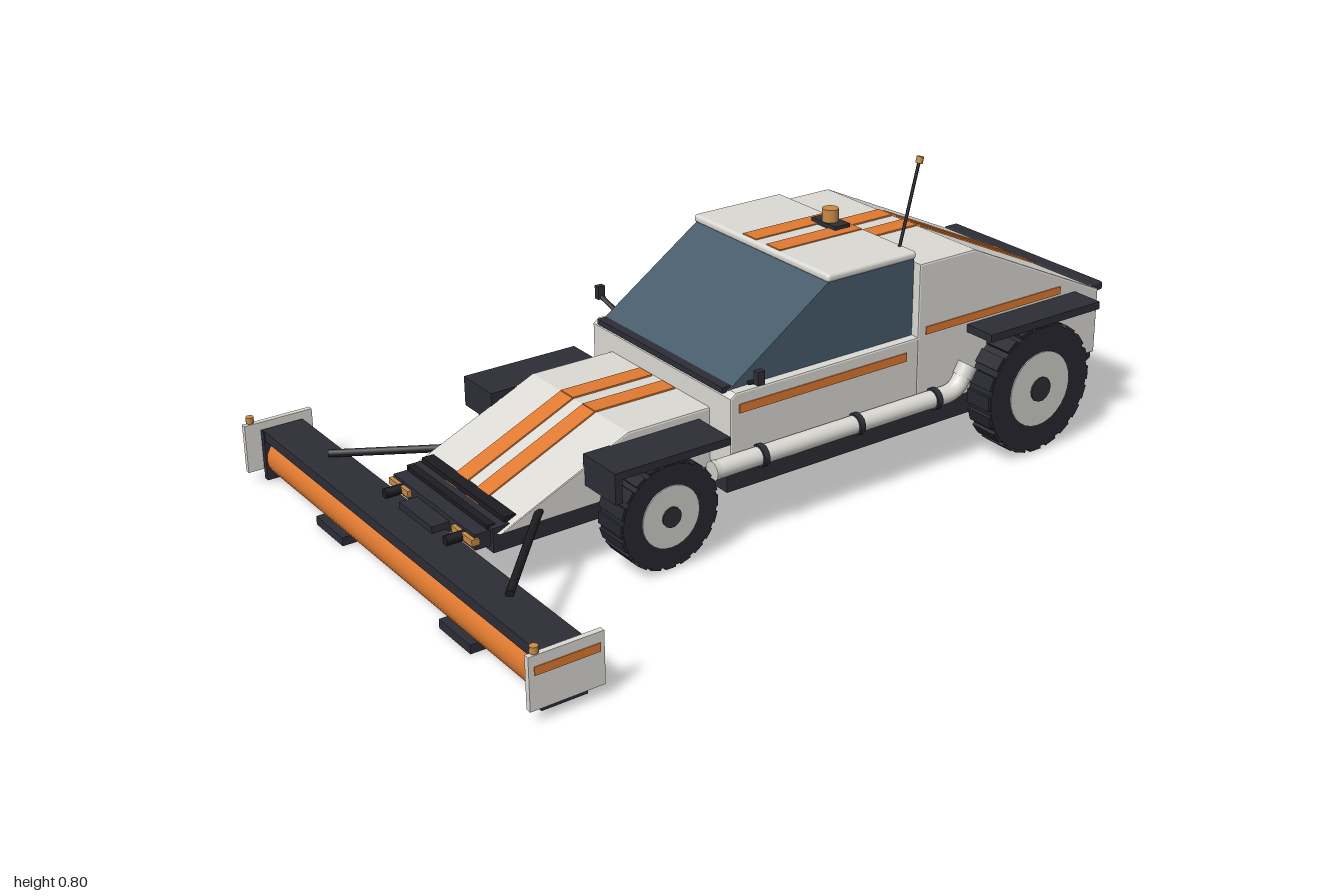
import * as THREE from 'three';
import { RoundedBoxGeometry } from 'three/addons/geometries/RoundedBoxGeometry.js';

const mat = (name, color) => Object.assign(new THREE.MeshStandardMaterial({ color }), { name });
const M = {
  body: mat('warm white paint', 0xdcdad4),
  orange: mat('orange paint', 0xe07a30),
  dark: mat('dark trim', 0x2d2d36),
  tyre: mat('tyre rubber', 0x272730),
  glass: mat('tinted glass', 0x465b6b),
  amber: mat('amber lamp', 0xc98a45),
  rim: mat('light metal', 0xcfcfca),
  black: mat('black metal', 0x1d1d21),
};

export function createModel() {
  const root = new THREE.Group();
  root.name = 'sweeperCar';

  const add = (name, geo, m, parent = root) => {
    const mesh = new THREE.Mesh(geo, m);
    mesh.name = name;
    parent.add(mesh);
    return mesh;
  };
  // Box given by its limits on each axis
  const box = (name, m, x0, x1, y0, y1, z0, z1, r = 0) => {
    const s = [x1 - x0, y1 - y0, z1 - z0];
    const g = r ? new RoundedBoxGeometry(...s, 2, r) : new THREE.BoxGeometry(...s);
    return add(name, g.translate((x0 + x1) / 2, (y0 + y1) / 2, (z0 + z1) / 2), m);
  };
  // Mirrored pair of boxes
  const pair = (name, m, x0, x1, ...rest) => {
    box(name + 'Left', m, x0, x1, ...rest);
    box(name + 'Right', m, -x1, -x0, ...rest);
  };
  // Side profile in (z, y), extruded across x
  const prism = (name, m, pts, w, x = 0, bevel = 0) => {
    const shape = new THREE.Shape(pts.map(p => new THREE.Vector2(...p)));
    const g = new THREE.ExtrudeGeometry(shape, {
      depth: w - 2 * bevel, bevelEnabled: bevel > 0, bevelSize: bevel, bevelOffset: -bevel,
      bevelThickness: bevel, bevelSegments: 2,
    });
    g.translate(0, 0, -(w - 2 * bevel) / 2).rotateY(-Math.PI / 2).translate(x, 0, 0);
    return add(name, g, m);
  };
  // Round bar between two points
  const rod = (name, m, a, b, r, sides = 10, parent = root) => {
    const p = new THREE.Vector3(...a), q = new THREE.Vector3(...b);
    const mesh = add(name, new THREE.CylinderGeometry(r, r, p.distanceTo(q), sides), m, parent);
    mesh.position.copy(p).lerp(q, 0.5);
    mesh.quaternion.setFromUnitVectors(new THREE.Vector3(0, 1, 0), q.sub(p).normalize());
    return mesh;
  };
  // Pair of racing stripes laid on a sloping panel, a is the rear end
  const stripes = (name, a, b) => {
    const n = new THREE.Vector2(-(b[1] - a[1]), b[0] - a[0]).normalize().multiplyScalar(0.004);
    const pts = [a, b, [b[0] + n.x, b[1] + n.y], [a[0] + n.x, a[1] + n.y]];
    for (const x of [-0.047, 0.047]) prism(name, M.orange, pts, 0.052, x);
  };

  // Chassis
  box('chassisFront', M.dark, -0.195, 0.195, 0.115, 0.175, 0.2, 0.8);
  box('chassisRear', M.dark, -0.265, 0.265, 0.115, 0.185, -0.88, 0.22);
  for (const z of [0.415, -0.675]) {
    const y = z > 0 ? 0.137 : 0.177;
    rod('axle', M.black, [-0.3, y, z], [0.3, y, z], 0.025);
  }

  // Hood, cab and rear body
  prism('hood', M.body, [[0.21, 0.16], [0.79, 0.16], [0.45, 0.312], [0.21, 0.312]], 0.41, 0, 0.005);
  prism('cabLower', M.body, [[-0.34, 0.18], [0.225, 0.18], [0.225, 0.36], [0.21, 0.372], [-0.34, 0.372]], 0.57, 0, 0.005);
  prism('cabGlass', M.glass, [[-0.335, 0.37], [0.215, 0.37], [-0.08, 0.572], [-0.335, 0.572]], 0.524);
  box('roof', M.body, -0.267, 0.267, 0.567, 0.588, -0.34, -0.068, 0.009);
  box('windscreenSill', M.dark, -0.258, 0.258, 0.366, 0.38, 0.203, 0.228);
  prism('rearBody', M.body, [[-0.95, 0.18], [-0.335, 0.18], [-0.335, 0.56], [-0.51, 0.56], [-0.95, 0.355]], 0.57, 0, 0.005);

  // Painted stripes
  stripes('hoodStripeFlat', [0.23, 0.312], [0.452, 0.312]);
  stripes('hoodStripeSlope', [0.452, 0.311], [0.77, 0.169]);
  stripes('roofStripe', [-0.33, 0.587], [-0.078, 0.587]);
  stripes('deckStripeFlat', [-0.508, 0.56], [-0.345, 0.56]);
  stripes('deckStripeSlope', [-0.935, 0.362], [-0.522, 0.5545]);
  pair('cabSideStripe', M.orange, 0.283, 0.288, 0.32, 0.342, -0.3, 0.2);
  pair('rearSideStripe', M.orange, 0.283, 0.288, 0.375, 0.395, -0.81, -0.36);

  // Tail
  box('tailPanel', M.dark, -0.272, 0.272, 0.185, 0.335, -0.957, -0.94);
  box('tailSpoiler', M.dark, -0.28, 0.28, 0.347, 0.37, -0.972, -0.925, 0.006);
  box('rearBumper', M.dark, -0.232, 0.232, 0.128, 0.178, -1, -0.945, 0.01);
  pair('bumperBracket', M.dark, 0.12, 0.16, 0.135, 0.17, -0.96, -0.86);
  pair('tailLamp', M.amber, 0.13, 0.24, 0.3, 0.316, -0.963, -0.95);

  // Fenders
  pair('rearFender', M.dark, 0.275, 0.372, 0.348, 0.368, -0.865, -0.495);
  pair('frontFender', M.dark, 0.2, 0.328, 0.272, 0.291, 0.255, 0.567);
  pair('frontFenderFlap', M.dark, 0.2, 0.328, 0.215, 0.28, 0.548, 0.567);

  // Wheels with tread blocks; the axis lies along x
  const wheel = (name, side, x0, x1, y, z, r) => {
    const g = new THREE.Group();
    g.name = name;
    const w = x1 - x0, lugs = 20;
    const disc = (part, m, rad, width, sides) =>
      add(part, new THREE.CylinderGeometry(rad, rad, width, sides).rotateZ(Math.PI / 2), m, g);
    disc('tyre', M.tyre, r * 0.955, w, 40);
    for (let i = 0; i < lugs; i++) {
      const lug = add('treadBlock', new THREE.BoxGeometry(w * 0.97, r * 0.1, r * 0.21).translate(0, r * 0.945, 0), M.tyre, g);
      lug.rotation.x = (i / lugs) * Math.PI * 2;
    }
    disc('rim', M.rim, r * 0.58, w + 0.006, 28);
    disc('hubCap', M.dark, r * 0.19, w + 0.014, 14);
    g.position.set(side * (x0 + x1) / 2, y, z);
    root.add(g);
  };

  for (const s of [1, -1]) {
    const sideName = s > 0 ? 'Left' : 'Right';
    wheel('frontWheel' + sideName, s, 0.222, 0.318, 0.137, 0.415, 0.133);
    wheel('rearWheel' + sideName, s, 0.286, 0.366, 0.177, -0.675, 0.172);

    // Side exhaust with clamps
    const path = new THREE.CurvePath();
    const P = (y, z) => new THREE.Vector3(s * 0.3, y, z);
    path.add(new THREE.LineCurve3(P(0.205, 0.285), P(0.205, -0.41)));
    path.add(new THREE.QuadraticBezierCurve3(P(0.205, -0.41), P(0.205, -0.45), P(0.23, -0.465)));
    path.add(new THREE.LineCurve3(P(0.23, -0.465), P(0.265, -0.487)));
    add('exhaustPipe' + sideName, new THREE.TubeGeometry(path, 48, 0.023, 14), M.body);
    rod('exhaustTip', M.rim, [s * 0.3, 0.24, -0.471], [s * 0.3, 0.268, -0.489], 0.026, 14);
    rod('exhaustFrontCap', M.rim, [s * 0.3, 0.205, 0.275], [s * 0.3, 0.205, 0.288], 0.024, 14);
    for (const z of [0.15, -0.135, -0.38]) {
      rod('exhaustClamp', M.dark, [s * 0.3, 0.205, z - 0.008], [s * 0.3, 0.205, z + 0.008], 0.028, 14);
      rod('exhaustStay', M.dark, [s * 0.25, 0.19, z], [s * 0.3, 0.19, z], 0.008, 8);
    }

    // Wing mirror
    rod('mirrorArm', M.black, [s * 0.275, 0.383, 0.165], [s * 0.325, 0.407, 0.175], 0.006, 8);
    box('mirror', M.dark, s * 0.327 - 0.008, s * 0.327 + 0.008, 0.4, 0.434, 0.165, 0.185);

    // Brush support arm, hitch pins and nose lamps
    rod('brushArm', M.black, [s * 0.195, 0.185, 0.68], [s * 0.415, 0.145, 0.89], 0.01, 8);
    rod('hitchPin', M.black, [s * 0.14, 0.15, 0.8], [s * 0.14, 0.15, 0.888], 0.012, 10);
    box('noseLamp', M.amber, s * 0.145 - 0.045, s * 0.145 + 0.045, 0.144, 0.16, 0.83, 0.85);

    // Brush end plates, guards, markers and skid shoes
    box('brushEndPlate', M.dark, s * 0.638 - 0.008, s * 0.638 + 0.008, 0.008, 0.138, 0.85, 0.96);
    box('brushGuard', M.body, s * 0.66 - 0.007, s * 0.66 + 0.007, 0.03, 0.155, 0.82, 0.998);
    box('guardStripe', M.orange, s * 0.667 - 0.002, s * 0.667 + 0.002, 0.11, 0.13, 0.83, 0.985);
    rod('guardMarkerPost', M.rim, [s * 0.66, 0.15, 0.98], [s * 0.66, 0.164, 0.98], 0.006, 8);
    rod('guardMarker', M.amber, [s * 0.66, 0.158, 0.98], [s * 0.66, 0.174, 0.98], 0.01, 10);
    box('skidShoe', M.dark, s * 0.295 - 0.067, s * 0.295 + 0.067, 0, 0.022, 0.868, 0.96);
  }

  // Nose grille and hitch
  box('noseBar', M.black, -0.185, 0.185, 0.172, 0.188, 0.735, 0.765);
  box('nosePlate', M.dark, -0.185, 0.185, 0.13, 0.168, 0.77, 0.84);
  box('hitchBlock', M.dark, -0.075, 0.075, 0.13, 0.155, 0.83, 0.885);
  box('noseSlat', M.black, -0.18, 0.18, 0.165, 0.178, 0.785, 0.805);

  // Front roller brush and its hood
  rod('rollerBrush', M.orange, [-0.632, 0.062, 0.905], [0.632, 0.062, 0.905], 0.052, 20);
  box('brushHood', M.dark, -0.638, 0.638, 0.113, 0.139, 0.85, 0.957);

  // Roof beacon and whip aerial
  box('beaconBase', M.dark, -0.046, 0.046, 0.585, 0.6, -0.315, -0.268);
  rod('beacon', M.amber, [0, 0.598, -0.29], [0, 0.632, -0.29], 0.021, 16);
  rod('aerial', M.black, [0.217, 0.585, -0.327], [0.217, 0.792, -0.381], 0.004, 8);
  rod('aerialTip', M.amber, [0.217, 0.786, -0.38], [0.217, 0.802, -0.384], 0.009, 10);

  return root;
}
